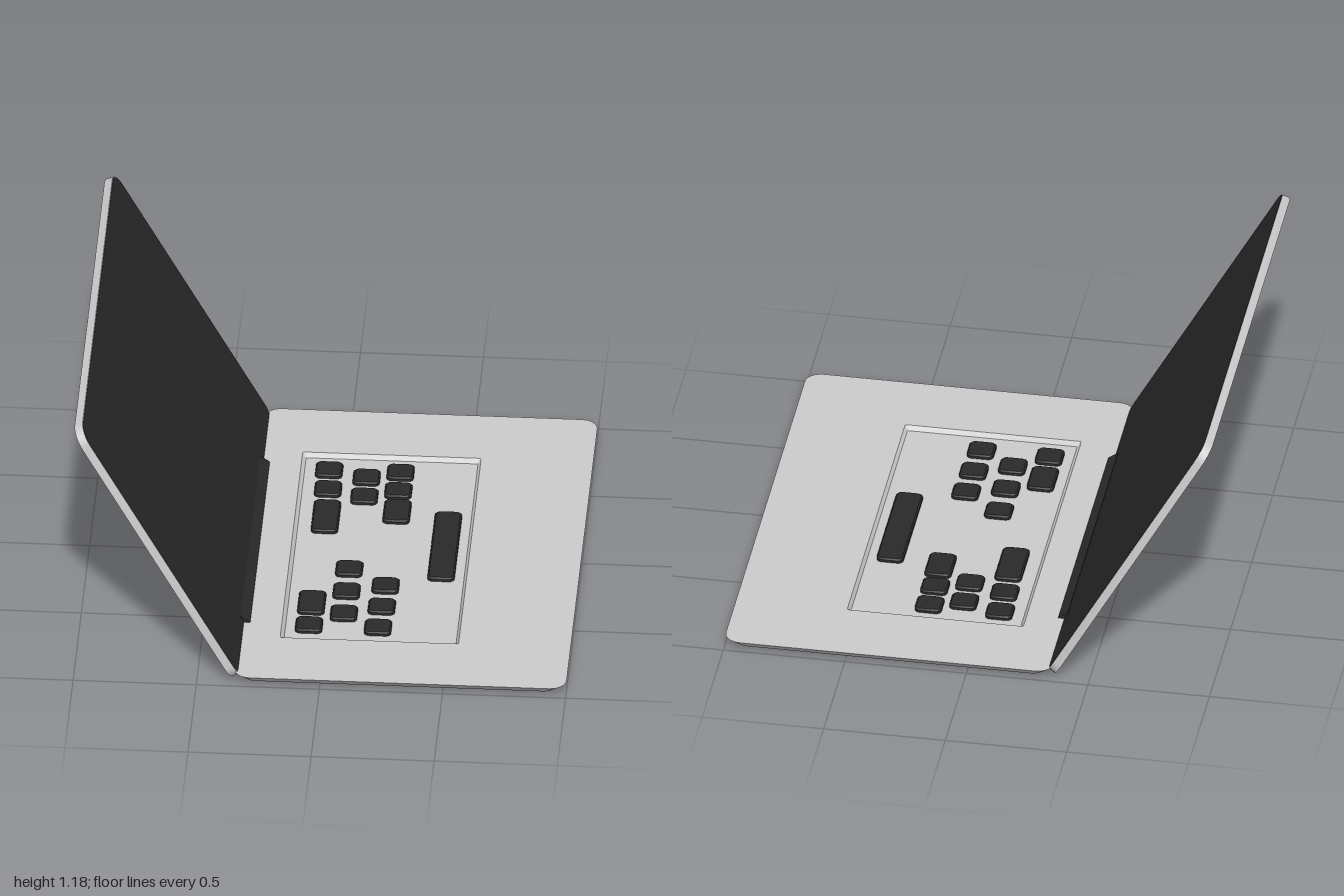
import * as THREE from 'three';
import { toCreasedNormals } from 'three/addons/utils/BufferGeometryUtils.js';

const grey = new THREE.MeshStandardMaterial({ color: 0xcccccc });
const black = new THREE.MeshStandardMaterial({ color: 0x2a2a2a });

// Points of a rounded rectangle at height y, with the same count for any radius.
function ring([y, x0, x1, z0, z1, r], seg = 6) {
  const pts = [];
  const corners = [[x1 - r, z1 - r], [x0 + r, z1 - r], [x0 + r, z0 + r], [x1 - r, z0 + r]];
  corners.forEach(([cx, cz], c) => {
    for (let i = 0; i <= seg; i++) {
      const a = (c + i / seg) * Math.PI / 2;
      pts.push([cx + r * Math.cos(a), y, cz + r * Math.sin(a)]);
    }
  });
  return pts;
}

// Skin a stack of rounded rectangles [y, x0, x1, z0, z1, radius], capped at both ends.
function loft(name, material, levels) {
  const rings = levels.map((l) => ring(l));
  const n = rings[0].length, last = (rings.length - 1) * n, index = [];
  for (let k = 0; k < rings.length - 1; k++) {
    for (let i = 0; i < n; i++) {
      const a = k * n + i, b = k * n + (i + 1) % n;
      index.push(a, a + n, b, b, a + n, b + n);
    }
  }
  for (let i = 1; i < n - 1; i++) {
    index.push(0, i, i + 1, last, last + i + 1, last + i);
  }
  const geo = new THREE.BufferGeometry();
  geo.setAttribute('position', new THREE.Float32BufferAttribute(rings.flat(2), 3));
  geo.setIndex(index);
  const mesh = new THREE.Mesh(toCreasedNormals(geo, 0.5), material);
  mesh.name = name;
  return mesh;
}

export function createModel() {
  const model = new THREE.Group();
  model.name = 'laptop';

  // Base: sides taper inward below, keyboard well sunk into the top
  model.add(loft('base', grey, [
    [0.013, -0.32, 0.965, -0.975, 0.975, 0.06],
    [0.043, -0.35, 1.0, -1.0, 1.0, 0.065],
    [0.043, -0.18, 0.545, -0.685, 0.692, 0.008],
    [0.025, -0.165, 0.533, -0.67, 0.677, 0.004],
  ]));

  // Keys: [x, z, length along z]
  const keyboard = new THREE.Group();
  keyboard.name = 'keyboard';
  const keys = [
    [-0.065, -0.575, 0.108], [-0.06, -0.435, 0.108], [-0.055, -0.23, 0.235],
    [0.09, -0.53, 0.108], [0.09, -0.39, 0.108],
    [0.225, -0.575, 0.108], [0.225, -0.44, 0.108], [0.23, -0.285, 0.165],
    [0.44, -0.04, 0.5],
    [0.065, 0.15, 0.108], [0.065, 0.315, 0.108], [0.065, 0.48, 0.108],
    [-0.07, 0.41, 0.165], [-0.07, 0.575, 0.108],
    [0.22, 0.265, 0.108], [0.215, 0.42, 0.108], [0.21, 0.575, 0.108],
  ];
  for (const [x, z, len] of keys) {
    const w = 0.055, h = len / 2, b = 0.006;
    const key = loft('key', black, [
      [0, -w, w, -h, h, 0.022],
      [0.012, -w, w, -h, h, 0.022],
      [0.018, -w + b, w - b, -h + b, h - b, 0.018],
    ]);
    key.position.set(x, 0.0245, z);
    keyboard.add(key);
  }
  model.add(keyboard);

  // Lid, leaning back from the hinge, with the screen on its inner face
  const lid = new THREE.Group();
  lid.name = 'lid';
  lid.add(loft('lidShell', grey, [
    [0, -1.337, 0, -0.985, 0.978, 0.075],
    [0.034, -1.333, -0.004, -0.978, 0.97, 0.07],
  ]));
  lid.add(loft('screen', black, [
    [0.033, -1.33, -0.007, -0.975, 0.967, 0.067],
    [0.0352, -1.33, -0.007, -0.975, 0.967, 0.067],
  ]));
  lid.position.set(-0.35, 0, 0);
  lid.rotation.z = -1.063;
  model.add(lid);

  // Hinge bar between lid and base
  const profile = new THREE.Shape([
    [-0.345, 0.008], [-0.305, 0.012], [-0.297, 0.026], [-0.31, 0.046], [-0.348, 0.074],
  ].map(([x, y]) => new THREE.Vector2(x, y)));
  const hinge = new THREE.Mesh(
    new THREE.ExtrudeGeometry(profile, { depth: 1.19, bevelEnabled: false }), black);
  hinge.name = 'hinge';
  hinge.position.z = -0.6;
  model.add(hinge);

  return model;
}
